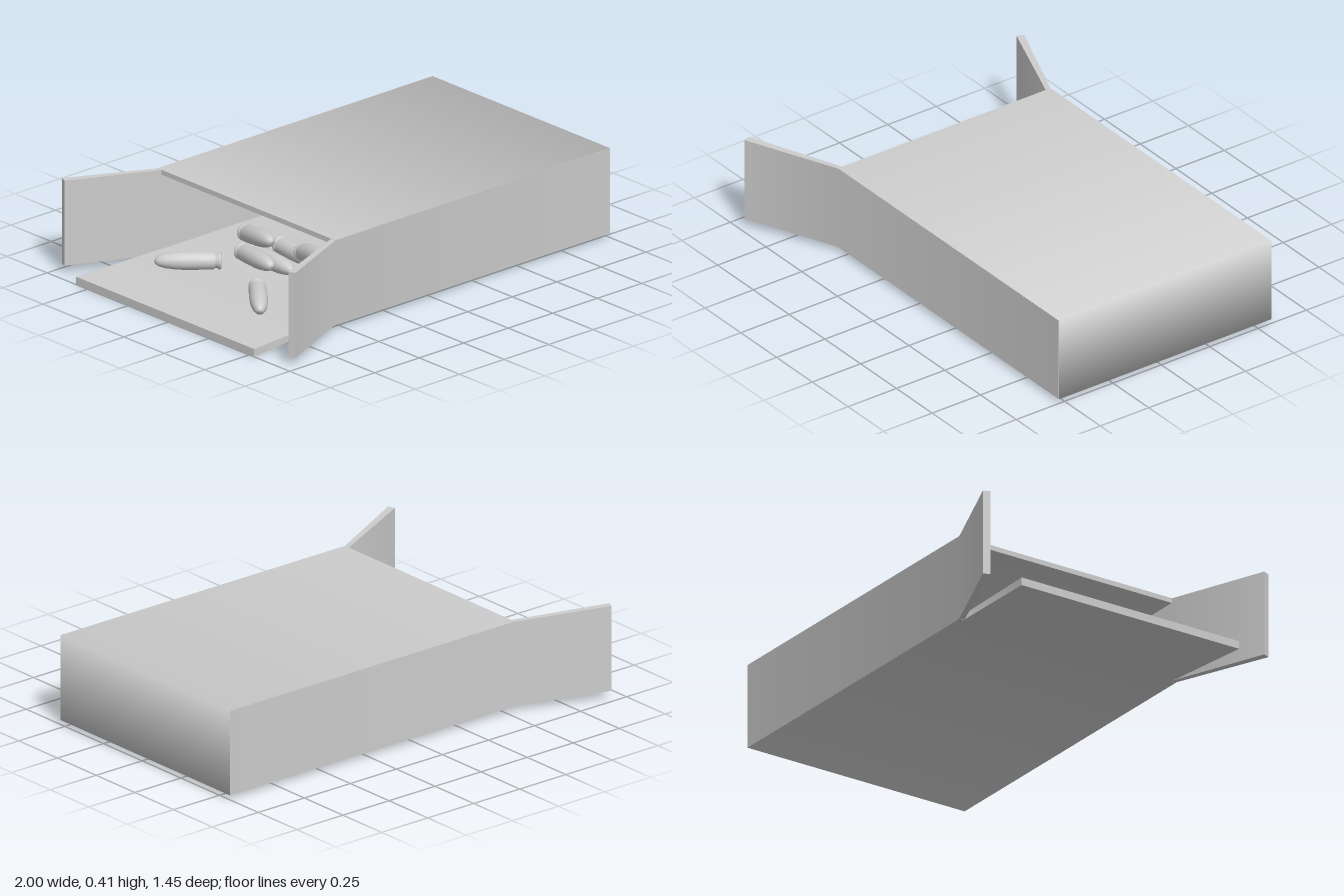
import * as THREE from 'three';
import { mergeGeometries } from 'three/addons/utils/BufferGeometryUtils.js';

const grey = new THREE.MeshStandardMaterial({ color: 0xcccccc });
grey.name = 'plain grey';
const V = (x, y, z) => new THREE.Vector3(x, y, z);

// Strip of quads through rows of [p, q], with normals blended evenly at each bend
function strip(rows) {
  const faces = rows.slice(1).map(([p1], i) => {
    const [p, q] = rows[i];
    return q.clone().sub(p).cross(p1.clone().sub(p)).normalize();
  });
  const pos = [], nor = [], index = [];
  rows.forEach(([p, q], i) => {
    const n = V(0, 0, 0);
    if (i > 0) n.add(faces[i - 1]);
    if (i < faces.length) n.add(faces[i]);
    n.normalize();
    pos.push(...p.toArray(), ...q.toArray());
    nor.push(...n.toArray(), ...n.toArray());
    if (i > 0) {
      const k = 2 * i - 2;
      index.push(k, k + 1, k + 3, k, k + 3, k + 2);
    }
  });
  const g = new THREE.BufferGeometry();
  g.setAttribute('position', new THREE.Float32BufferAttribute(pos, 3));
  g.setAttribute('normal', new THREE.Float32BufferAttribute(nor, 3));
  g.setIndex(index);
  return g;
}

// Folded card with thickness; each section is [outerA, outerB, innerA, innerB]
function foldedCard(name, sections) {
  const [a, b, ia, ib] = sections[0];
  const [c, d, ic, id] = sections[sections.length - 1];
  const geometry = mergeGeometries([
    strip(sections.map(s => [s[0], s[1]])),
    strip(sections.map(s => [s[3], s[2]])),
    strip(sections.map(s => [s[2], s[0]])),
    strip(sections.map(s => [s[1], s[3]])),
    strip([[ia, ib], [a, b]]),
    strip([[c, d], [ic, id]]),
  ]);
  const mesh = new THREE.Mesh(geometry, grey);
  mesh.name = name;
  return mesh;
}

// Top, closed end, bottom and bottom flap in one folded piece
function wrap() {
  // outer x, y, inner x, y, back z, front z
  const fold = [
    [-0.545, 0.4, -0.545, 0.378, -0.569, 0.529],
    [1, 0.4, 0.975, 0.378, -0.569, 0.529],
    [1, 0.02, 0.975, 0.045, -0.569, 0.529],
    [-0.53, 0.02, -0.53, 0.045, -0.569, 0.529],
    [-0.545, 0.02, -0.545, 0.045, -0.548, 0.506],
    [-1, 0, -1, 0.035, -0.57, 0.53],
  ];
  return foldedCard('topEndBottomAndFlap', fold.map(([x, y, ix, iy, z0, z1]) =>
    [V(x, y, z0), V(x, y, z1), V(ix, iy, z0), V(ix, iy, z1)]));
}

// Side wall with its flap swung outward
function sideWall(name, side) {
  const centre = -0.02, tip = side > 0 ? 0.74 : 0.705;
  // outer x, depth, inner x, depth, bottom, top
  const fold = [
    [0.999, 0.55, 0.999, 0.525, 0.021, 0.399],
    [-0.545, 0.55, -0.545, 0.525, 0.021, 0.399],
    [-0.94, tip, -0.953, tip - 0.03, 0.035, 0.415],
  ];
  return foldedCard(name, fold.map(([x, d, ix, id, y0, y1]) => {
    const [ya, yb] = side > 0 ? [y0, y1] : [y1, y0];
    const z = centre + side * d, iz = centre + side * id;
    return [V(x, ya, z), V(x, yb, z), V(ix, ya, iz), V(ix, yb, iz)];
  }));
}

// Round-nosed cylinder with a rimmed base, centred on its length
function roundGeometry() {
  const profile = [
    [0, -0.14], [0.034, -0.14], [0.037, -0.136], [0.037, -0.128], [0.031, -0.122],
    [0.031, -0.114], [0.038, -0.106], [0.039, 0.01], [0.037, 0.05], [0.032, 0.09],
    [0.024, 0.12], [0.013, 0.136], [0, 0.14],
  ].map(([x, y]) => new THREE.Vector2(x, y));
  return new THREE.LatheGeometry(profile, 24);
}

export function createModel() {
  const model = new THREE.Group();
  model.name = 'openBox';
  model.add(wrap(), sideWall('frontWallAndFlap', 1), sideWall('backWallAndFlap', -1));

  // Loose rounds: centre, then direction of the nose
  const rounds = [
    [[-0.675, 0.078, 0.2], [-0.64, -0.01, 0.77]],
    [[-0.61, 0.08, -0.31], [-0.75, 0, -0.66]],
    [[-0.45, 0.24, 0.29], [-0.35, 0.25, 0.9]],
    [[-0.45, 0.125, 0.29], [-0.3, 0.2, 0.93]],
    [[-0.45, 0.22, -0.05], [-0.3, 0.2, 0.93]],
    [[-0.45, 0.12, -0.06], [-0.25, 0.1, 0.95]],
    [[-0.36, 0.085, 0.25], [-0.1, 0, 1]],
    [[-0.36, 0.085, -0.06], [-0.1, 0, 1]],
    [[-0.36, 0.165, 0.1], [-0.1, 0, 1]],
  ];
  const geometry = roundGeometry();
  const pile = new THREE.Group();
  pile.name = 'looseRounds';
  for (const [centre, nose] of rounds) {
    const mesh = new THREE.Mesh(geometry, grey);
    mesh.name = 'round';
    mesh.position.set(...centre);
    mesh.quaternion.setFromUnitVectors(V(0, 1, 0), V(...nose).normalize());
    pile.add(mesh);
  }
  model.add(pile);
  return model;
}
